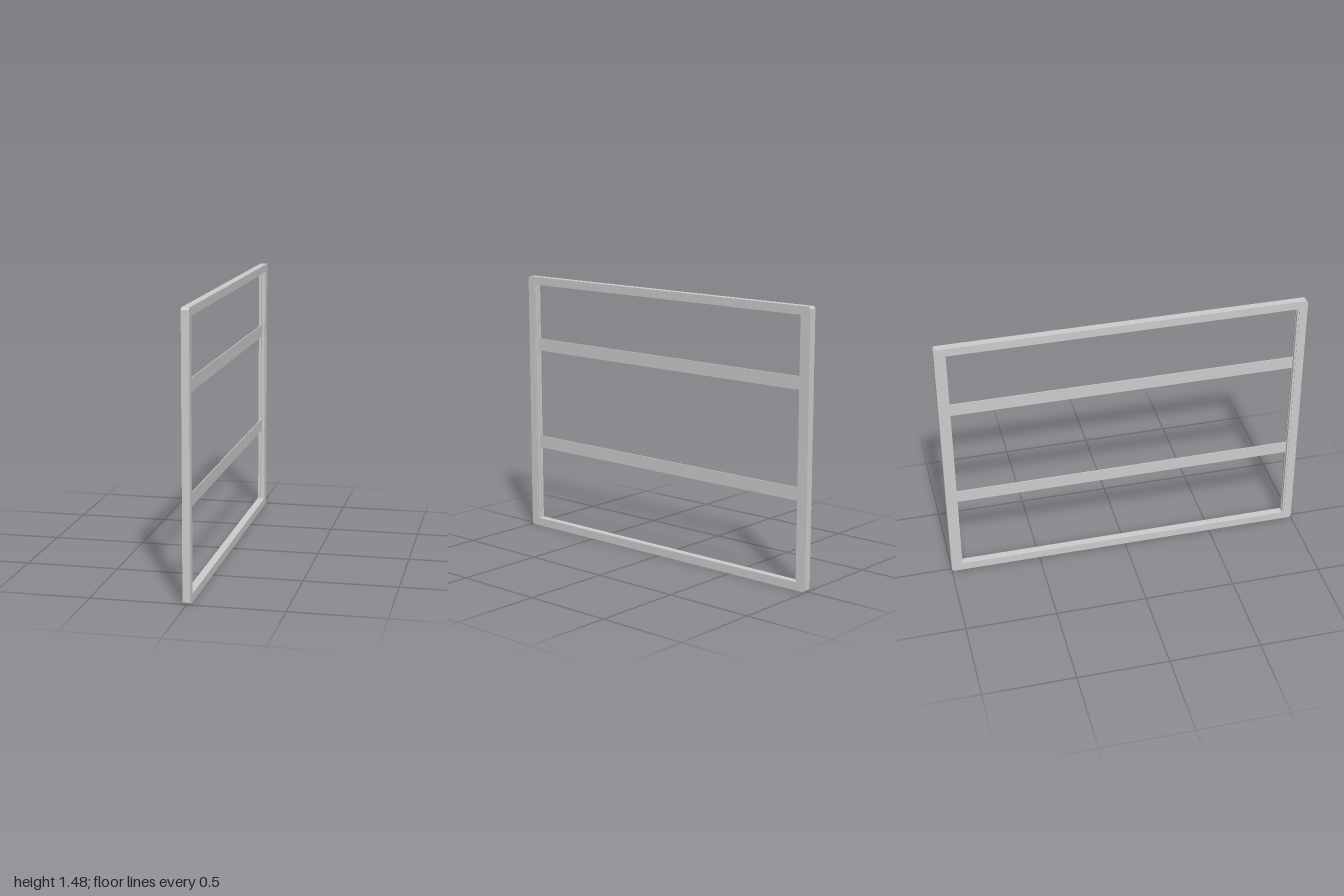
import * as THREE from 'three';

const material = new THREE.MeshStandardMaterial({ color: 0xcccccc, flatShading: true });
const HEIGHT = 1.48, DEPTH = 0.041, BAR = 0.045, CHAMFER = 0.01;

// Box from its min and max corners
function addBox(parent, name, [x0, y0, z0], [x1, y1, z1]) {
  const mesh = new THREE.Mesh(new THREE.BoxGeometry(x1 - x0, y1 - y0, z1 - z0), material);
  mesh.name = name;
  mesh.position.set((x0 + x1) / 2, (y0 + y1) / 2, (z0 + z1) / 2);
  parent.add(mesh);
}

// Rectangular frame with slightly clipped outer corners, extruded along x
function createFrame() {
  const c = CHAMFER, h = HEIGHT;
  const points = (list) => list.map(([a, b]) => new THREE.Vector2(a, b));
  const outline = new THREE.Shape(points([
    [-1 + c, 0], [1 - c, 0], [1, c], [1, h - c],
    [1 - c, h], [-1 + c, h], [-1, h - c], [-1, c],
  ]));
  const e = 1 - BAR;
  outline.holes.push(new THREE.Path(points([[-e, BAR], [-e, h - BAR], [e, h - BAR], [e, BAR]])));
  const geometry = new THREE.ExtrudeGeometry(outline, { depth: DEPTH, bevelEnabled: false });
  geometry.translate(0, 0, -DEPTH / 2).rotateY(Math.PI / 2);
  const mesh = new THREE.Mesh(geometry, material);
  mesh.name = 'outerFrame';
  return mesh;
}

export function createModel() {
  const group = new THREE.Group();
  group.name = 'slattedFrame';
  group.add(createFrame());

  // Paired beads on each post leave a narrow groove for the slats
  const y0 = BAR, y1 = HEIGHT - BAR;
  for (const [name, z0, z1] of [['frontBead', 0.945, 0.957], ['backBead', -0.957, -0.938]]) {
    addBox(group, name, [0.003, y0, z0], [0.018, y1, z1]);
    addBox(group, name, [-0.018, y0, z0], [-0.003, y1, z1]);
  }

  // Thin horizontal slats held in the grooves
  for (const y of [0.473, 1.05]) {
    addBox(group, 'slat', [-0.0025, y, -0.95], [0.0025, y + 0.07, 0.95]);
  }
  return group;
}
